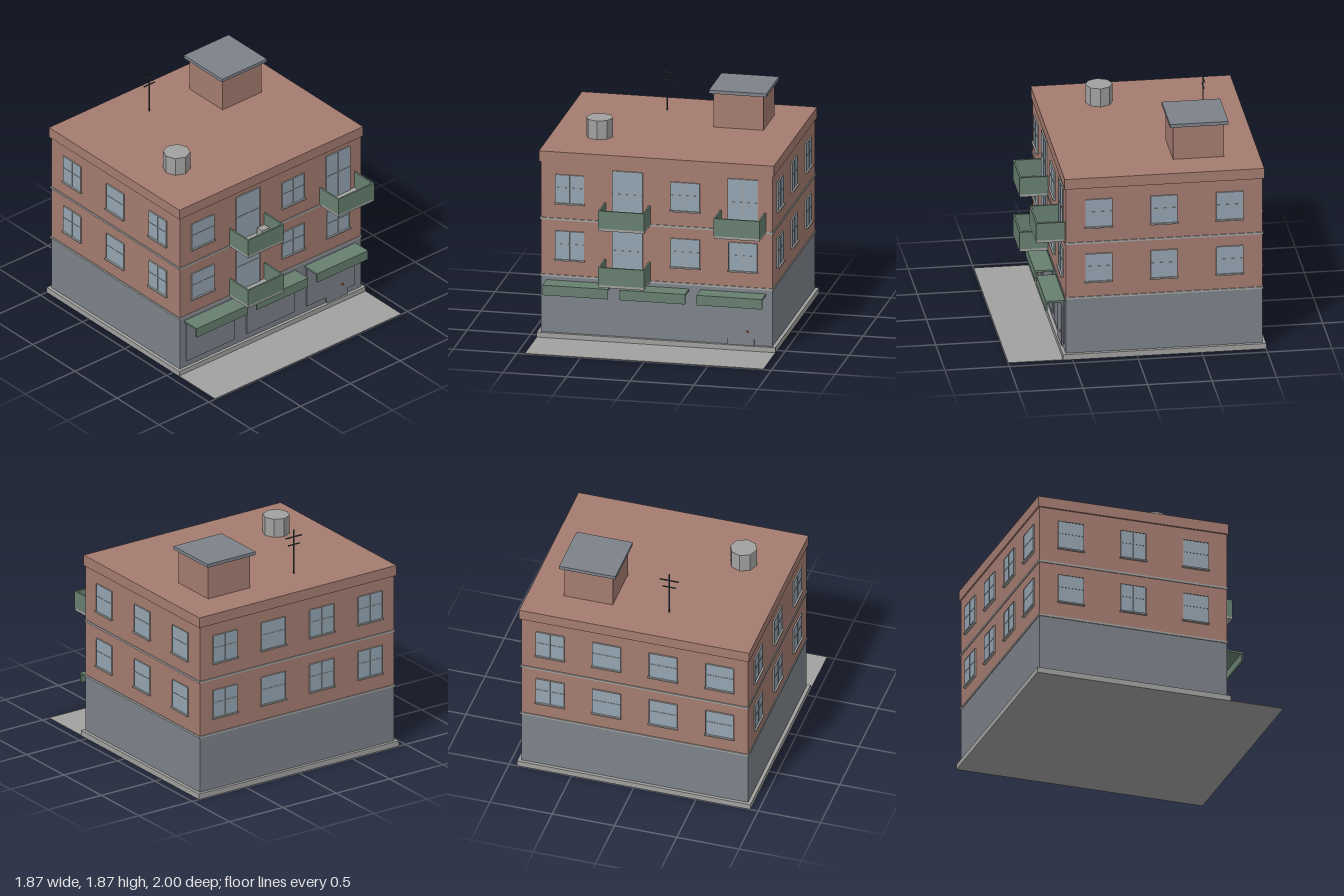
import * as THREE from 'three';

const mat = (name, color, opts = {}) => new THREE.MeshStandardMaterial({ name, color, ...opts });

export function createModel() {
  const brick = mat('brick', 0xa57c70);
  const slate = mat('slate', 0x7d828a);
  const glass = mat('glass', 0x94a5b2);
  const green = mat('green', 0x678070);
  const concrete = mat('concrete', 0xa1a1a0);
  const metal = mat('darkMetal', 0x41474d);
  const copper = mat('copper', 0xa8664a);

  const model = new THREE.Group();
  model.name = 'apartmentBuilding';

  // Box given by its limits on each axis
  const box = (parent, name, material, x0, x1, y0, y1, z0, z1) => {
    const mesh = new THREE.Mesh(new THREE.BoxGeometry(x1 - x0, y1 - y0, z1 - z0), material);
    mesh.position.set((x0 + x1) / 2, (y0 + y1) / 2, (z0 + z1) / 2);
    mesh.name = name;
    parent.add(mesh);
    return mesh;
  };
  const W = 0.91, FRONT = 0.55, BACK = -0.975;

  // Main volumes
  box(model, 'pavement', concrete, -0.937, 0.937, 0, 0.005, 0.575, 1);
  box(model, 'plinth', concrete, -0.937, 0.937, 0, 0.045, -1, 0.575);
  box(model, 'groundFloor', slate, -W, W, 0.045, 0.5, BACK, FRONT);
  box(model, 'upperFloors', brick, -W, W, 0.5, 1.42, BACK, FRONT);
  box(model, 'parapet', brick, -0.923, 0.923, 1.415, 1.5, -0.987, 0.56);
  for (const y of [0.495, 0.95])
    box(model, 'floorBand', concrete, -0.917, 0.917, y, y + 0.016, -0.982, 0.557);

  // Window: pane, frame, glazing bars and optional sill, built facing +z
  const makeWindow = (w, h, sill) => {
    const g = new THREE.Group();
    g.name = sill ? 'window' : 'balconyDoor';
    const x = w / 2, t = 0.005;
    box(g, 'pane', glass, -x, x, 0, h, -0.005, 0.008);
    for (const s of [-1, 1]) box(g, 'frameSide', concrete, s * x - t / 2, s * x + t / 2, 0, h, -0.005, 0.011);
    box(g, 'frameTop', concrete, -x, x, h - t / 2, h + t / 2, -0.005, 0.011);
    box(g, 'uprightBar', concrete, -t / 2, t / 2, 0, h, 0, 0.011);
    box(g, 'crossBar', concrete, -x, x, h * 0.55 - t / 2, h * 0.55 + t / 2, 0, 0.011);
    if (sill) box(g, 'sill', concrete, -x - 0.008, x + 0.008, -0.009, 0.002, -0.005, 0.022);
    return g;
  };
  const place = (g, x, y, z, turn = 0) => {
    g.position.set(x, y, z);
    g.rotation.y = turn;
    model.add(g);
  };

  // Windows on all four sides of both upper floors
  const columns = [-0.683, -0.229, 0.225, 0.677];
  [0.637, 1.09].forEach((y, floor) => {
    columns.forEach((x, i) => {
      const door = i === 1 || (i === 3 && floor === 1);
      if (door) place(makeWindow(0.235, 0.408, false), x, y - 0.124, FRONT);
      else place(makeWindow(0.223, 0.226, true), x, y, FRONT);
      place(makeWindow(0.223, 0.226, true), x, y, BACK, Math.PI);
    });
    for (const z of [0.295, -0.212, -0.72])
      for (const s of [-1, 1])
        place(makeWindow(0.203, 0.226, true), s * W, y, z, s * Math.PI / 2);
  });

  // Balconies: slab with three solid railing panels
  for (const [x, y] of [[-0.23, 0.5], [-0.23, 0.955], [0.677, 0.955]]) {
    const g = new THREE.Group();
    g.name = 'balcony';
    const h = 0.181, t = 0.014, z1 = 0.772;
    box(g, 'slab', concrete, x - h + 0.001, x + h - 0.001, y, y + 0.02, FRONT, z1 - 0.001);
    box(g, 'frontRailing', green, x - h, x + h, y + 0.02, y + 0.161, z1 - t, z1);
    for (const s of [-1, 1])
      box(g, 'sideRailing', green, x + s * (h - t / 2) - t / 2, x + s * (h - t / 2) + t / 2,
        y + 0.02, y + 0.161, FRONT, z1 - t);
    model.add(g);
  }
  box(model, 'balconyBox', concrete, -0.162, -0.088, 0.975, 1.04, 0.585, 0.645);

  // Shopfronts with L-shaped awnings
  for (const x of [-0.608, -0.002, 0.602]) {
    box(model, 'shopfront', slate, x - 0.242, x + 0.242, 0.095, 0.44, FRONT, 0.56);
    box(model, 'awningTop', green, x - 0.257, x + 0.257, 0.45, 0.465, FRONT, 0.697);
    box(model, 'awningValance', green, x - 0.257, x + 0.257, 0.385, 0.45, 0.684, 0.697);
  }
  box(model, 'shopDoor', slate, 0.555, 0.767, 0.045, 0.38, FRONT, 0.562);
  box(model, 'doorHandle', copper, 0.707, 0.723, 0.148, 0.16, 0.56, 0.57);

  // Roof: stair house, water tank and aerial
  box(model, 'stairHouse', brick, 0.256, 0.648, 1.5, 1.778, -0.712, -0.318);
  box(model, 'stairHouseRoof', slate, 0.226, 0.677, 1.776, 1.803, -0.744, -0.291);

  const tank = new THREE.Mesh(
    new THREE.CylinderGeometry(0.105, 0.105, 0.15, 8).toNonIndexed(), concrete);
  tank.geometry.computeVertexNormals();
  tank.position.set(-0.549, 1.575, 0.086);
  tank.name = 'waterTank';
  model.add(tank);

  const aerial = new THREE.Group();
  aerial.name = 'aerial';
  box(aerial, 'mast', metal, -0.188, -0.18, 1.5, 1.865, -0.674, -0.666);
  box(aerial, 'upperArm', metal, -0.26, -0.108, 1.801, 1.809, -0.674, -0.666);
  box(aerial, 'lowerArm', metal, -0.238, -0.13, 1.738, 1.745, -0.674, -0.666);
  model.add(aerial);

  return model;
}
